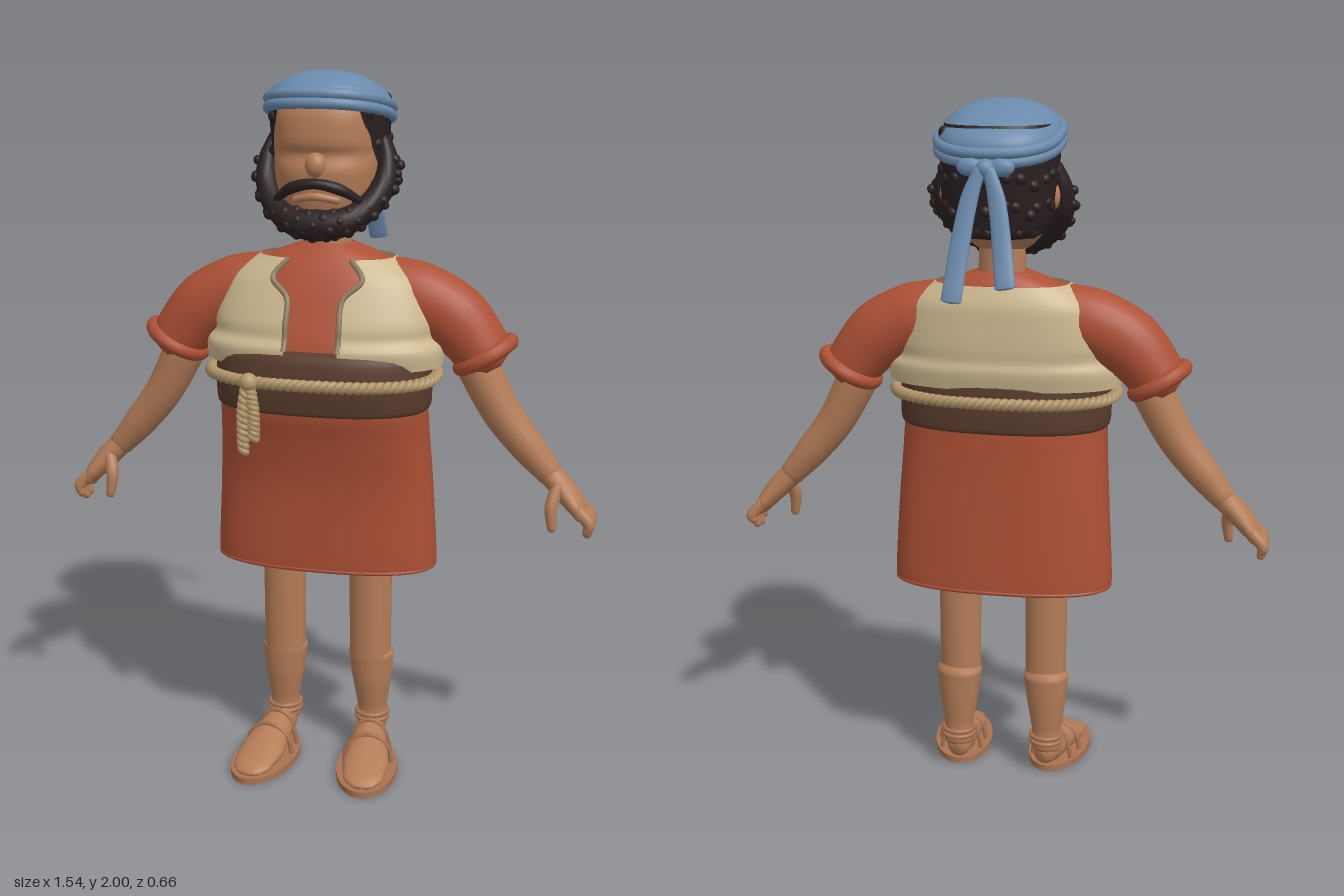
import * as THREE from 'three';

const V = (x, y, z) => new THREE.Vector3(x, y, z);
const X = V(1, 0, 0), Y = V(0, 1, 0), Z = V(0, 0, 1);
const mat = (name, color, open) => {
  const m = new THREE.MeshStandardMaterial({ color });
  m.name = name;
  if (open) m.side = THREE.DoubleSide;
  return m;
};

// Surface through rows of points, each row running counterclockwise seen from above
function grid(rows, closed) {
  const n = rows[0].length, pos = [], idx = [];
  rows.forEach(r => r.forEach(p => pos.push(p.x, p.y, p.z)));
  for (let i = 0; i < rows.length - 1; i++)
    for (let j = 0; j < (closed ? n : n - 1); j++) {
      const a = i * n + j, b = i * n + (j + 1) % n;
      idx.push(a, b, a + n, b, b + n, a + n);
    }
  const g = new THREE.BufferGeometry();
  g.setAttribute('position', new THREE.Float32BufferAttribute(pos, 3));
  g.setIndex(idx);
  g.computeVertexNormals();
  return g;
}

// Point on a rounded body section; angle 0 is the front
const pw = (v, n) => Math.sign(v) * Math.abs(v) ** (2 / n);
function oval(a, [y, hx, zf, zb], n = 2.4) {
  const c = (zf + zb) / 2;
  return V(hx * pw(Math.sin(a), n), y, c + (zf - zb) / 2 * pw(Math.cos(a), n));
}

// Loft of oval sections [y, halfWidth, zFront, zBack, frontGapAngle], smoothed between rows
function loft(sections, open = false, sub = 4) {
  const rows = [], seg = 56, last = sections.length - 1;
  for (let k = 0; k <= last * sub; k++) {
    const i = Math.min(Math.floor(k / sub), last - 1), t = k / sub - i;
    const s = sections[i].map((_, c) => {
      const at = q => sections[Math.max(0, Math.min(last, q))][c];
      const m0 = (at(i + 1) - at(i - 1)) / 2, m1 = (at(i + 2) - at(i)) / 2;
      return THREE.MathUtils.clamp(
        at(i) * (2 * t ** 3 - 3 * t * t + 1) + m0 * (t ** 3 - 2 * t * t + t) +
        at(i + 1) * (3 * t * t - 2 * t ** 3) + m1 * (t ** 3 - t * t), -9, 9);
    });
    const gap = open ? s[4] : 0, row = [];
    for (let j = 0; j < seg; j++)
      row.push(oval(gap + (2 * Math.PI - 2 * gap) * j / (open ? seg - 1 : seg), s));
    rows.push(row);
  }
  return grid(rows, !open);
}

// Tapered, capped limb through points [x, y, z, radiusAlongRef, radiusAcross]
function limb(pts, ref = Z, seg = 16, sub = 6) {
  const curve = new THREE.CatmullRomCurve3(pts.map(p => V(p[0], p[1], p[2])));
  const last = pts.length - 1, count = last * sub, rows = [];
  const ring = (t, k, shift) => {
    const i = Math.min(Math.floor(t * last), last - 1), f = t * last - i;
    const r1 = THREE.MathUtils.lerp(pts[i][3], pts[i + 1][3], f) * k;
    const r2 = THREE.MathUtils.lerp(pts[i][4], pts[i + 1][4], f) * k;
    const T = curve.getTangent(t), N = T.clone().cross(ref).normalize(), B = N.clone().cross(T);
    const c = curve.getPoint(t).addScaledVector(T, shift * Math.min(pts[i][3], pts[i][4]));
    return Array.from({ length: seg }, (_, j) => {
      const a = j / seg * 2 * Math.PI;
      return c.clone().addScaledVector(B, r1 * Math.cos(a)).addScaledVector(N, r2 * Math.sin(a));
    });
  };
  rows.push(ring(0, 0.001, -0.6), ring(0, 0.7, -0.4));
  for (let k = 0; k <= count; k++) rows.push(ring(k / count, 1, 0));
  rows.push(ring(1, 0.7, 0.4), ring(1, 0.001, 0.6));
  return grid(rows, true);
}

const loop = (section, count = 48) => new THREE.CatmullRomCurve3(
  Array.from({ length: count }, (_, i) => oval(i / count * 2 * Math.PI, section)), true);

export function createModel() {
  const root = new THREE.Group();
  root.name = 'figure';
  const skin = mat('skin', 0xb47c57), red = mat('rust cloth', 0xad5035, true);
  const cream = mat('cream cloth', 0xcbb78f, true), brown = mat('brown sash', 0x583b2d, true);
  const blue = mat('blue cloth', 0x6a8aac, true), hairMat = mat('dark hair', 0x2b2020, true);
  const ropeMat = mat('rope', 0xb3976a), leather = mat('sandal leather', 0xa97250);
  const trimMat = mat('vest trim', 0x8f7d60);
  const add = (name, geo, m, p, parent = root) => {
    const mesh = new THREE.Mesh(geo, m);
    mesh.name = name;
    if (p) mesh.position.set(...p);
    parent.add(mesh);
    return mesh;
  };
  let seed = 7;
  const rnd = () => (seed = (seed * 16807) % 2147483647) / 2147483647;

  // Tunic, sash and open vest
  add('tunic', loft([[0.61, 0.318, 0.168, -0.118], [0.64, 0.322, 0.172, -0.12], [0.85, 0.31, 0.178, -0.112],
    [1.0, 0.3, 0.208, -0.108], [1.1, 0.295, 0.232, -0.107], [1.25, 0.285, 0.213, -0.1], [1.35, 0.28, 0.175, -0.1],
    [1.44, 0.24, 0.135, -0.092], [1.5, 0.16, 0.1, -0.075], [1.535, 0.068, 0.07, -0.052]]), red);
  add('hem', new THREE.TubeGeometry(loop([0.613, 0.316, 0.166, -0.116]), 72, 0.007, 6, true), red);
  add('sash', loft([[1.085, 0.298, 0.236, -0.11], [1.1, 0.305, 0.242, -0.116], [1.17, 0.306, 0.248, -0.117],
    [1.24, 0.3, 0.238, -0.112], [1.26, 0.285, 0.21, -0.1]]), brown);
  const vestRows = [[1.21, 0.335, 0.218, -0.112, 0.075], [1.26, 0.335, 0.228, -0.122, 0.075],
    [1.29, 0.312, 0.21, -0.116, 0.075], [1.33, 0.312, 0.203, -0.118, 0.075], [1.4, 0.29, 0.174, -0.115, 0.078],
    [1.45, 0.262, 0.15, -0.11, 0.125], [1.5, 0.19, 0.118, -0.09, 0.088]]
    .map(r => [...r.slice(0, 4), Math.asin((r[4] / r[1]) ** 1.2)]);
  add('vest', loft(vestRows, true), cream);
  for (const s of [1, -1])
    add('vestTrim', new THREE.TubeGeometry(new THREE.CatmullRomCurve3(
      vestRows.slice(1).map(r => oval(s * r[4], r))), 40, 0.008, 6), trimMat);

  // Twisted rope belt with a knot and hanging ends
  const rope = (name, path, turns, ref, closed) => {
    for (const phase of [0, Math.PI]) {
      const n = turns * 8, pts = [];
      for (let i = 0; i < (closed ? n : n + 1); i++) {
        const u = i / n, T = path.getTangentAt(u), N = T.clone().cross(ref).normalize();
        const a = u * turns * 2 * Math.PI + phase;
        pts.push(path.getPointAt(u).addScaledVector(N, 0.008 * Math.cos(a))
          .addScaledVector(N.clone().cross(T), 0.008 * Math.sin(a)));
      }
      add(name, new THREE.TubeGeometry(new THREE.CatmullRomCurve3(pts, closed), n * 2, 0.0105, 6, closed), ropeMat);
    }
  };
  rope('ropeBelt', loop([1.178, 0.32, 0.264, -0.13]), 40, Y, true);
  for (const [x, low] of [[-0.178, 0.98], [-0.148, 1.02]])
    rope('ropeEnd', new THREE.CatmullRomCurve3([V(-0.165, 1.19, 0.262), V(x, 1.1, 0.268), V(x, low, 0.266)]), 6, Z, false);
  add('ropeKnot', new THREE.SphereGeometry(0.026, 16, 12), ropeMat, [-0.163, 1.18, 0.262]);

  for (const s of [1, -1]) {
    // Sleeve with rolled cuff
    add('sleeve', limb([[s * 0.13, 1.42, 0.012, 0.075, 0.085], [s * 0.25, 1.39, 0.014, 0.088, 0.1],
      [s * 0.36, 1.335, 0.015, 0.09, 0.097], [s * 0.45, 1.235, 0.015, 0.085, 0.08]], Z, 24), red);
    const cuff = add('cuff', new THREE.TorusGeometry(0.079, 0.022, 12, 32), red, [s * 0.448, 1.235, 0.012]);
    cuff.quaternion.setFromUnitVectors(Z, V(s * 0.5, -0.866, 0));
    // Arm, palm, fingers and thumb
    add('arm', limb([[s * 0.38, 1.31, 0.015, 0.06, 0.055], [s * 0.43, 1.2, 0.014, 0.066, 0.06],
      [s * 0.5, 1.07, 0.013, 0.056, 0.054], [s * 0.575, 0.975, 0.01, 0.049, 0.048],
      [s * 0.64, 0.9, 0.008, 0.037, 0.036]], Z, 20), skin);
    add('palm', limb([[s * 0.63, 0.91, 0.008, 0.036, 0.034], [s * 0.675, 0.865, 0.011, 0.046, 0.034],
      [s * 0.715, 0.82, 0.014, 0.058, 0.028], [s * 0.735, 0.79, 0.014, 0.055, 0.02]], Z, 18), skin);
    [[-0.034, 0.75], [-0.004, 0.728], [0.027, 0.725], [0.058, 0.74]].forEach(([z, tip]) =>
      add('finger', limb([[s * 0.722, 0.815, 0.014 + (z - 0.014) * 0.8, 0.017, 0.018],
        [s * 0.756, 0.775, z, 0.016, 0.017], [s * 0.75, tip + 0.01, z, 0.012, 0.012]], Z, 10), skin));
    add('thumb', limb([[s * 0.665, 0.875, 0.035, 0.02, 0.02], [s * 0.65, 0.82, 0.062, 0.019, 0.018],
      [s * 0.655, 0.76, 0.07, 0.012, 0.013]], Z, 10), skin);

    // Leg
    add('thigh', new THREE.CylinderGeometry(0.064, 0.061, 0.58, 28), skin, [s * 0.13, 0.6, 0.022]).scale.z = 0.86;
    add('shin', limb([[s * 0.135, 0.08, 0.01, 0.038, 0.044], [s * 0.135, 0.14, 0.01, 0.037, 0.043],
      [s * 0.134, 0.23, 0.013, 0.05, 0.058], [s * 0.132, 0.318, 0.014, 0.056, 0.068]], Z, 24), skin);
    // Foot and sandal, toes turned slightly out
    const foot = new THREE.Group();
    foot.name = 'foot';
    foot.position.set(s * 0.133, 0, 0);
    foot.rotation.y = s * 0.12;
    root.add(foot);
    add('footBody', limb([[0, 0.07, -0.005, 0.04, 0.035], [0, 0.066, 0.05, 0.052, 0.045], [0, 0.058, 0.12, 0.046, 0.056],
      [0, 0.044, 0.2, 0.033, 0.068], [0, 0.03, 0.28, 0.017, 0.056], [0, 0.024, 0.305, 0.01, 0.035]], Y, 20), skin, null, foot);
    const outline = new THREE.Shape().absellipse(0, 0, 0.088, 0.165, 0, 2 * Math.PI);
    const sole = add('sole', new THREE.ExtrudeGeometry(outline, { depth: 0.018, bevelEnabled: false, curveSegments: 32 }),
      leather, [0, 0.018, 0.168], foot);
    sole.rotation.x = Math.PI / 2;
    for (const [z, w, h] of [[0.075, 0.053, 0.118], [0.14, 0.062, 0.103]])
      add('footStrap', new THREE.TubeGeometry(new THREE.CatmullRomCurve3([V(-w - 0.008, 0.015, z), V(-w, 0.06, z),
        V(-w * 0.6, h - 0.014, z), V(0, h, z), V(w * 0.6, h - 0.014, z), V(w, 0.06, z), V(w + 0.008, 0.015, z)]),
      32, 0.007, 6), leather, null, foot);
    for (const y of [0.105, 0.122]) {
      const strap = add('ankleStrap', new THREE.TorusGeometry(0.046, 0.007, 8, 28), leather, [s * 0.135, y, 0.01]);
      strap.rotation.x = Math.PI / 2;
    }
    add('ear', new THREE.SphereGeometry(0.03, 14, 12), skin, [s * 0.15, 1.745, -0.03]).scale.set(0.6, 1.2, 0.8);
  }

  // Neck and head
  add('neck', new THREE.CylinderGeometry(0.062, 0.068, 0.2, 28), skin, [0, 1.6, 0.008]).scale.z = 0.88;
  add('head', loft([[1.575, 0.03, 0.11, 0.03], [1.6, 0.08, 0.135, -0.05], [1.65, 0.12, 0.153, -0.1],
    [1.7, 0.137, 0.16, -0.125], [1.745, 0.144, 0.164, -0.14], [1.785, 0.146, 0.152, -0.15], [1.82, 0.146, 0.165, -0.15],
    [1.9, 0.145, 0.158, -0.15], [1.95, 0.12, 0.12, -0.13]]), skin);
  add('nose', new THREE.SphereGeometry(0.03, 20, 14), skin, [0, 1.758, 0.152]).scale.set(1, 1.15, 1);

  // Hair shell with curls
  const hairRows = [[1.635, 0.06, 0.03, -0.11, 1.75], [1.645, 0.125, 0.09, -0.148, 1.7], [1.72, 0.155, 0.12, -0.166, 1.3],
    [1.8, 0.16, 0.135, -0.178, 0.98], [1.9, 0.163, 0.16, -0.185, 0.7], [1.94, 0.15, 0.15, -0.17, 0.7]];
  add('hair', loft(hairRows, true), hairMat);
  const curl = (name, p, r) => add(name, new THREE.SphereGeometry(r, 10, 8), hairMat, p.toArray());
  for (let i = 0; i < 60; i++) {
    const r = hairRows[1 + i % 4], gap = r[4] + 0.1, jitter = (rnd() - 0.5) * 0.04;
    const a = gap + (2 * Math.PI - 2 * gap) * (Math.floor(i / 4) + rnd() * 0.6) / 15;
    const p = oval(a, r).multiply(V(0.95, 1, 0.95));
    p.y = Math.max(1.655, p.y + jitter);
    curl('hairCurl', p, 0.018);
  }

  // Beard wrapping the jaw, covered in curls, and moustache
  const half = [[0.155, 1.82, 0.0, 0.025, 0.016], [0.168, 1.765, 0.015, 0.035, 0.027], [0.165, 1.705, 0.04, 0.043, 0.033],
    [0.125, 1.64, 0.09, 0.045, 0.036], [0.065, 1.605, 0.132, 0.045, 0.04]];
  const flip = p => [-p[0], ...p.slice(1)];
  const jaw = [...half, [0, 1.598, 0.14, 0.045, 0.045], ...half.slice().reverse().map(flip)];
  add('beard', limb(jaw, Z, 18), hairMat);
  const jawCurve = new THREE.CatmullRomCurve3(jaw.map(p => V(p[0], p[1], p[2])));
  for (let i = 0; i < 110; i++) {
    const u = 0.12 + 0.76 * (i + 0.5) / 110, a = i * 2.4, p = jawCurve.getPoint(u);
    const out = V(p.x, 0, p.z).normalize();
    p.addScaledVector(out, 0.034 * Math.max(-0.2, Math.cos(a))).addScaledVector(Y, 0.034 * Math.sin(a));
    curl('beardCurl', p, 0.012 + 0.004 * rnd());
  }
  add('moustache', limb([[0.115, 1.665, 0.125, 0.012, 0.01], [0.065, 1.698, 0.163, 0.015, 0.016], [0, 1.712, 0.176, 0.015, 0.014],
    [-0.065, 1.698, 0.163, 0.015, 0.016], [-0.115, 1.665, 0.125, 0.012, 0.01]], Z, 12), hairMat);
  add('lip', limb([[0.06, 1.665, 0.146, 0.01, 0.01], [0, 1.676, 0.162, 0.012, 0.011],
    [-0.06, 1.665, 0.146, 0.01, 0.01]], Z, 10), skin);

  // Tilted cap with a double rolled brim
  const cap = new THREE.Group();
  cap.name = 'cap';
  cap.position.set(0, 1.893, 0);
  cap.rotation.x = -0.2;
  root.add(cap);
  add('capCrown', loft([[0, 0.155, 0.165, -0.195], [0.03, 0.165, 0.175, -0.205], [0.06, 0.145, 0.15, -0.185],
    [0.088, 0.1, 0.1, -0.13], [0.102, 0.045, 0.04, -0.06], [0.105, 0.001, -0.009, -0.011]]), blue, null, cap);
  for (const y of [-0.005, 0.02])
    add('capBrim', new THREE.TubeGeometry(loop([y, 0.164, 0.176, -0.206]), 72, 0.0155, 10, true), blue, null, cap);
  add('capButton', new THREE.SphereGeometry(0.009, 10, 8), blue, [0, 0.105, -0.01], cap).scale.y = 0.5;

  // Knot and tails behind the cap
  add('capKnot', new THREE.SphereGeometry(0.026, 16, 12), blue, [0, 1.835, -0.228]);
  for (const s of [1, -1]) {
    add('knotLoop', new THREE.SphereGeometry(0.03, 16, 12), blue, [s * 0.042, 1.838, -0.222]).scale.set(1.2, 0.8, 0.55);
    add('capTail', limb([[s * 0.012, 1.835, -0.238, 0.012, 0.016], [s * 0.036, 1.76, -0.256, 0.01, 0.024],
      [s * 0.056, 1.64, -0.285, 0.009, 0.027], [s * 0.072, s > 0 ? 1.5 : 1.54, -0.325, 0.007, 0.028]], Z, 14), blue);
  }
  return root;
}
